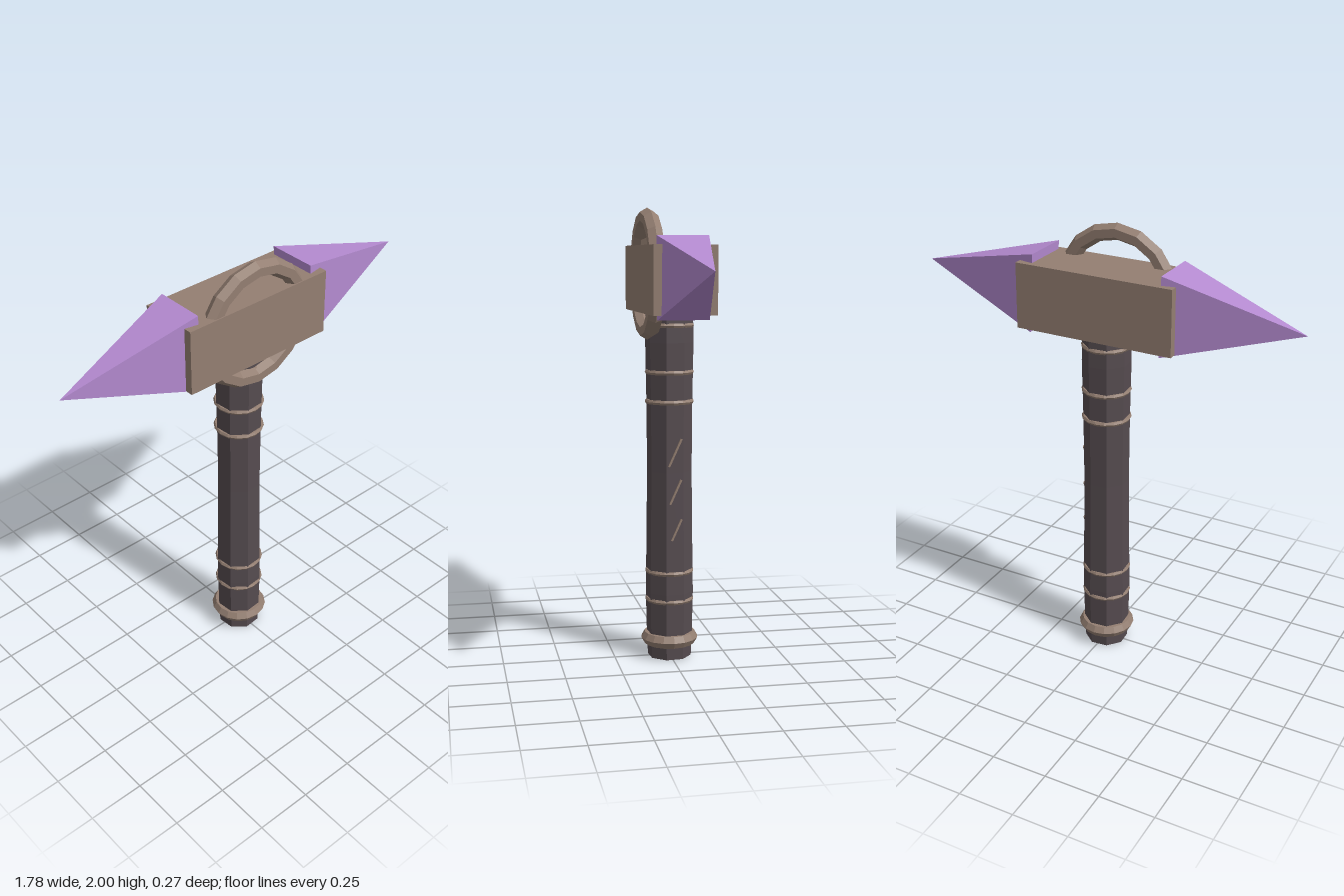
import * as THREE from 'three';

export function createModel() {
  const model = new THREE.Group();
  model.name = 'warHammer';

  const material = (name, color) => {
    const m = new THREE.MeshStandardMaterial({ color });
    m.name = name;
    return m;
  };
  const brown = material('weathered brown', 0x947f72);
  const dark = material('dark wood', 0x564c50);
  const purple = material('purple crystal', 0xb48ad0);

  // Faceted mesh helper
  const add = (name, geometry, mat, x = 0, y = 0, z = 0) => {
    const flat = geometry.index ? geometry.toNonIndexed() : geometry;
    flat.computeVertexNormals();
    const mesh = new THREE.Mesh(flat, mat);
    mesh.name = name;
    mesh.position.set(x, y, z);
    model.add(mesh);
    return mesh;
  };

  // Eight-sided handle, slightly slimmer in the middle
  const profile = [
    [0, 0], [0.098, 0], [0.103, 0.12], [0.107, 0.3], [0.104, 0.5], [0.1, 0.85],
    [0.102, 1.15], [0.107, 1.42], [0.104, 1.6], [0, 1.6],
  ].map(([r, y]) => new THREE.Vector2(r, y));
  add('handle', new THREE.LatheGeometry(profile, 8, THREE.MathUtils.degToRad(27.5)), dark);

  // Thin bands and the thick pommel ring
  const hoop = (name, y, radius, tube, sides) =>
    add(name, new THREE.TorusGeometry(radius, tube, sides, 16).rotateX(Math.PI / 2), brown, 0, y, 0);
  [0.265, 0.395, 1.16, 1.29, 1.495].forEach((y) => hoop('handleBand', y, 0.099, 0.011, 6));
  hoop('pommelRing', 0.085, 0.097, 0.031, 6);

  // Slanted grip marks on the side facet
  [[0.94, -0.008, 0.135], [0.765, -0.01, 0.12], [0.595, -0.015, 0.105]].forEach(([y, z, length]) => {
    const mark = add('gripMark', new THREE.BoxGeometry(0.014, length, 0.009), brown, 0.092, y, z);
    mark.rotation.set(-0.43, THREE.MathUtils.degToRad(5), 0);
  });

  // Hammer head block
  add('headBlock', new THREE.BoxGeometry(0.725, 0.29, 0.27), brown, -0.002, 1.695, 0);

  // Upright ring set into the front of the head
  add('headRing', new THREE.TorusGeometry(0.248, 0.037, 6, 16), brown, 0, 1.715, 0.098);

  // Four-sided spikes, each a little tilted
  const spike = (name, side, tilt) => {
    const geometry = new THREE.ConeGeometry(Math.SQRT1_2, 1, 4)
      .rotateY(Math.PI / 4)
      .translate(0, 0.5, 0)
      .rotateZ(-side * Math.PI / 2)
      .scale(0.587, 0.35, 0.222);
    add(name, geometry, purple, side * 0.302, 1.704, 0).rotation.z = tilt;
  };
  spike('leftSpike', 1, 0.056);
  spike('rightSpike', -1, 0.014);

  return model;
}
